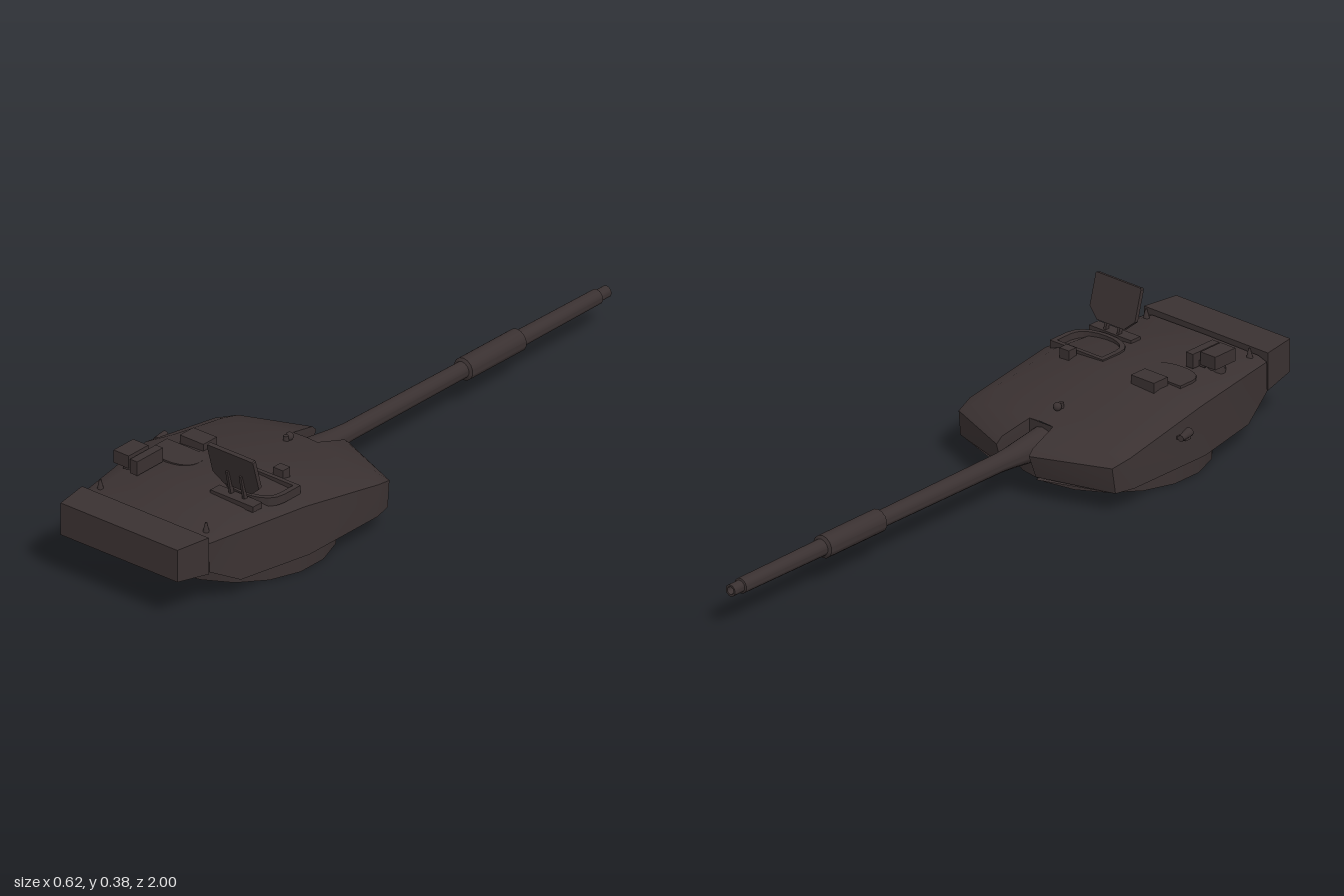
import * as THREE from 'three';
import { toCreasedNormals } from 'three/addons/utils/BufferGeometryUtils.js';

const CX = 0.0135; // centre line of the turret

export function createModel() {
  const model = new THREE.Group();
  const paint = new THREE.MeshStandardMaterial({ color: 0x3a3131, side: THREE.DoubleSide });
  paint.name = 'darkBrownPaint';

  const add = (name, geometry, x = 0, y = 0, z = 0) => {
    const mesh = new THREE.Mesh(geometry, paint);
    mesh.name = name;
    mesh.position.set(x, y, z);
    model.add(mesh);
    return mesh;
  };
  // box given by its limits on each axis
  const box = (name, x0, x1, y0, y1, z0, z1) =>
    add(name, new THREE.BoxGeometry(x1 - x0, y1 - y0, z1 - z0), (x0 + x1) / 2, (y0 + y1) / 2, (z0 + z1) / 2);

  // Turret shell: half outline from the gun slot round to the rear, at three levels
  const lower = [[0.042, 0.06, 0.235], [0.062, 0.068, 0.145], [0.278, 0.06, 0.222], [0.293, 0.06, 0.28],
    [0.293, 0.06, 0.56], [0.246, 0.06, 0.785], [0.222, 0.115, 0.885]];
  const shoulder = [[0.042, 0.15, 0.235], [0.058, 0.135, 0.122], [0.275, 0.135, 0.212], [0.287, 0.15, 0.27],
    [0.279, 0.2, 0.56], [0.238, 0.2, 0.785], [0.22, 0.2, 0.885]];
  const roof = [[0.042, 0.178, 0.235], [0.056, 0.152, 0.14], [0.235, 0.163, 0.235], [0.235, 0.18, 0.3],
    [0.215, 0.228, 0.52], [0.19, 0.228, 0.74], [0.19, 0.21, 0.885]];
  const ridge = [0.18, 0, 0, 0.196, 0.24, 0.236, 0.212];
  const positions = [];
  const face = (...p) => {
    for (let i = 1; i < p.length - 1; i++) {
      const tri = [p[0], p[i], p[i + 1]];
      tri.forEach(v => positions.push(...v));
      tri.reverse().forEach(([x, y, z]) => positions.push(-x, y, z));
    }
  };
  const mid = (p, y = p[1]) => [0, y, p[2]];
  for (const [a, b] of [[lower, shoulder], [shoulder, roof]]) {
    for (let i = 0; i < 6; i++) face(a[i + 1], a[i], b[i], b[i + 1]);
    face(a[0], mid(a[0]), mid(b[0]), b[0]);
    face(mid(a[6]), a[6], b[6], mid(b[6]));
  }
  face(roof[0], roof[2], roof[1]);
  face(roof[0], roof[3], roof[2]);
  for (const [i, j] of [[0, 3], [3, 4], [4, 5], [5, 6]])
    face(mid(roof[j], ridge[j]), roof[j], roof[i], mid(roof[i], ridge[i]));
  face(mid(roof[6]), roof[6], mid(roof[6], ridge[6]));
  face(mid(lower[5]), lower[5], lower[6], mid(lower[6]));
  const shell = new THREE.BufferGeometry();
  shell.setAttribute('position', new THREE.Float32BufferAttribute(positions, 3));
  add('turretShell', toCreasedNormals(shell, 0.55), CX);

  // Underside with the round opening
  const half = lower.slice(0, 6).map(p => [p[0], p[2]]);
  const outline = [...half, ...half.map(([x, z]) => [-x, z]).reverse()];
  const underside = new THREE.Shape(outline.map(([x, z]) => new THREE.Vector2(x, z)));
  const opening = new THREE.Path();
  opening.absarc(0, 0.517, 0.262, 0, Math.PI * 2, true);
  underside.holes.push(opening);
  add('underside', new THREE.ShapeGeometry(underside, 9).rotateX(Math.PI / 2), CX, 0.06);

  // Turret ring, an open wall
  const ring = new THREE.CylinderGeometry(0.27, 0.27, 0.062, 18, 1, true);
  add('turretRing', ring, CX, 0.031, 0.517);

  // Gun: stepped profile along -z with a slight droop
  const profile = [[0.046, -0.25], [0.03, -0.11], [0.0265, -0.06], [0.024, 0.41], [0.033, 0.415], [0.033, 0.635],
    [0.024, 0.64], [0.022, 0.96], [0.017, 0.962], [0.017, 1], [0.011, 1], [0.011, 0.93], [0, 0.93]];
  const gun = new THREE.LatheGeometry(profile.map(p => new THREE.Vector2(...p)), 14).rotateX(-Math.PI / 2);
  const barrel = add('gunBarrel', toCreasedNormals(gun, 0.6), 0.01, 0.119);
  barrel.rotation.x = -0.008;

  // Rear bin, tapering backwards
  const bin = new THREE.BoxGeometry(0.444, 0.11, 0.108);
  const bp = bin.attributes.position;
  for (let i = 0; i < bp.count; i++) {
    if (bp.getZ(i) < 0) continue;
    bp.setX(i, bp.getX(i) * 0.92);
    if (bp.getY(i) < 0) bp.setY(i, bp.getY(i) + 0.014);
  }
  bin.computeVertexNormals();
  add('rearBin', bin, 0.0175, 0.168, 0.946);

  // D-shaped hatch outline, flat towards the gun
  const hatchPath = (w, d, Type = THREE.Shape) => {
    const s = new Type();
    s.moveTo(-w, -d);
    s.lineTo(w, -d);
    s.lineTo(w, 0);
    s.bezierCurveTo(w, d * 0.7, w * 0.55, d, 0, d);
    s.bezierCurveTo(-w * 0.55, d, -w, d * 0.7, -w, 0);
    s.closePath();
    return s;
  };
  const slab = (shape, h) => new THREE.ExtrudeGeometry(shape, { depth: h, bevelEnabled: false, curveSegments: 5 })
    .rotateX(Math.PI / 2);
  add('closedHatch', slab(hatchPath(0.076, 0.048), 0.025), -0.115, 0.236, 0.608);
  const rim = hatchPath(0.095, 0.066);
  rim.holes.push(hatchPath(0.08, 0.053, THREE.Path));
  add('openHatchRim', slab(rim, 0.025), 0.16, 0.241, 0.602);
  add('hatchWell', slab(hatchPath(0.08, 0.053), 0.12), 0.16, 0.222, 0.602);

  // Raised hatch lid on two arms
  const lid = new THREE.Shape([[-0.081, 0.12], [-0.078, 0.124], [0.078, 0.124], [0.081, 0.12], [0.081, 0.03],
    [0.048, 0], [-0.048, 0], [-0.081, 0.03]].map(p => new THREE.Vector2(...p)));
  const lidMesh = add('hatchLid', new THREE.ExtrudeGeometry(lid, { depth: 0.012, bevelEnabled: false }), 0.166, 0.265, 0.677);
  lidMesh.rotation.x = 0.27;
  for (const x of [0.143, 0.19]) {
    const arm = box('lidArm', x - 0.004, x + 0.004, 0.225, 0.315, 0.687, 0.699);
    arm.rotation.x = 0.2;
  }
  box('lidHinge', 0.09, 0.24, 0.225, 0.242, 0.675, 0.712);

  // Roof periscopes and sights
  box('hatchPeriscope', -0.155, -0.073, 0.225, 0.255, 0.495, 0.55);
  box('frontPeriscope', 0.15, 0.184, 0.225, 0.255, 0.495, 0.525);
  add('sightBase', new THREE.CylinderGeometry(0.022, 0.026, 0.03, 10), -0.172, 0.231, 0.725);
  box('sightHousing', -0.203, -0.15, 0.243, 0.281, 0.685, 0.765);
  box('sightBridge', -0.16, -0.12, 0.235, 0.252, 0.69, 0.75);
  box('sightTube', -0.141, -0.116, 0.235, 0.277, 0.665, 0.77);

  // Small roof knob behind the gun
  add('roofKnobPost', new THREE.CylinderGeometry(0.007, 0.009, 0.025, 8), 0.01, 0.2, 0.31);
  add('roofKnob', new THREE.SphereGeometry(0.012, 10, 8), 0.01, 0.205, 0.295);

  // Aerial mounts near the rear corners
  for (const [x, z] of [[0.198, 0.855], [-0.172, 0.855]])
    add('aerialMount', new THREE.CylinderGeometry(0.003, 0.011, 0.036, 8), x, 0.222, z);

  // Lamp on the side bracket
  const bracket = box('lampBracket', -0.305, -0.262, 0.143, 0.152, 0.455, 0.475);
  bracket.rotation.z = -0.15;
  const lamp = add('sideLamp', new THREE.CylinderGeometry(0.013, 0.009, 0.05, 10).rotateX(Math.PI / 2), -0.298, 0.16, 0.46);
  lamp.rotation.y = 0.25;

  return model;
}
